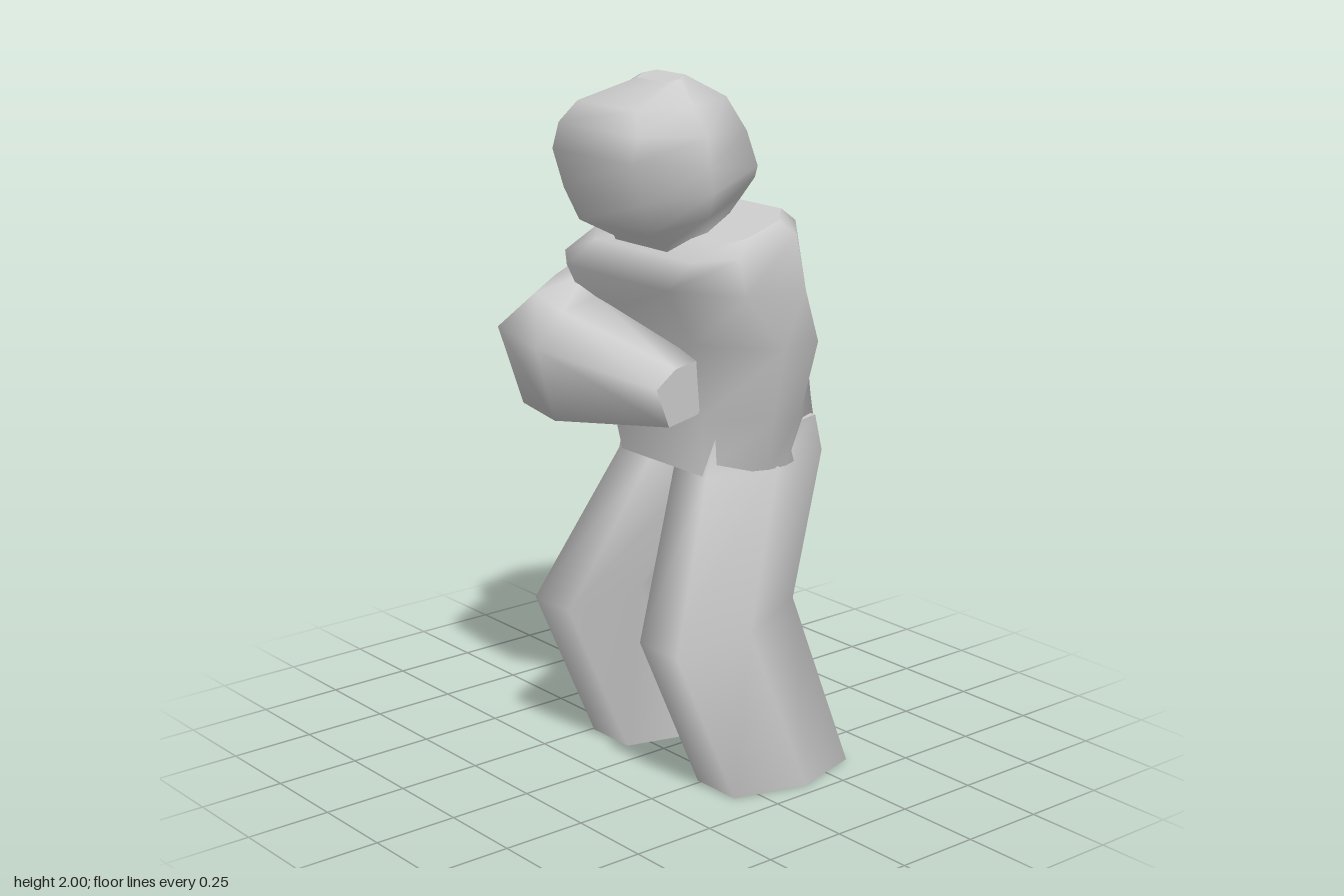
import * as THREE from 'three';

const material = new THREE.MeshStandardMaterial({ color: 0xcccccc });

// Skin a stack of equal-length rings; caps get their own vertices so their rims stay sharp.
function loft(name, rings) {
  const n = rings[0].length;
  const pos = rings.flat(2);
  const index = [];
  for (let r = 0; r < rings.length - 1; r++) {
    for (let i = 0; i < n; i++) {
      const j = (i + 1) % n;
      const a = r * n + i, b = r * n + j;
      index.push(a, b, b + n, a, b + n, a + n);
    }
  }
  const cap = (ring, flip) => {
    const start = pos.length / 3;
    const mid = [0, 1, 2].map(k => ring.reduce((s, p) => s + p[k], 0) / n);
    pos.push(...mid, ...ring.flat());
    for (let i = 0; i < n; i++) {
      const a = start + 1 + i, b = start + 1 + (i + 1) % n;
      if (flip) index.push(start, b, a);
      else index.push(start, a, b);
    }
  };
  cap(rings[0], true);
  cap(rings[rings.length - 1], false);
  const geometry = new THREE.BufferGeometry();
  geometry.setAttribute('position', new THREE.Float32BufferAttribute(pos, 3));
  geometry.setIndex(index);
  geometry.computeVertexNormals();
  const mesh = new THREE.Mesh(geometry, material);
  mesh.name = name;
  return mesh;
}

// Level or tilted ring: x from x0 to x1, front and back given as [z, y].
// flat = share of the width that is straight, side = share of the depth that is straight.
function ring(x0, x1, front, back, flat, side = 0) {
  const cx = (x0 + x1) / 2, fx = (x1 - x0) / 2 * flat;
  const at = (x, t) => [
    x,
    THREE.MathUtils.lerp(back[1], front[1], t),
    THREE.MathUtils.lerp(back[0], front[0], t),
  ];
  const lo = 0.5 - side / 2, hi = 0.5 + side / 2;
  const right = side ? [at(x1, hi), at(x1, lo)] : [at(x1, 0.5)];
  const left = side ? [at(x0, lo), at(x0, hi)] : [at(x0, 0.5)];
  return [...right, at(cx + fx, 0), at(cx - fx, 0), ...left, at(cx - fx, 1), at(cx + fx, 1)];
}

// Upright arm section between an outer and an inner [x, z], from y0 to y1.
function armRing(outer, inner, y0, y1) {
  const section = [[0.15, 1], [0.62, 0.93], [1, 0.66], [0.75, 0], [0.15, 0.1], [0, 0.5]];
  return section.map(([t, h]) => [
    THREE.MathUtils.lerp(inner[0], outer[0], t),
    THREE.MathUtils.lerp(y0, y1, h),
    THREE.MathUtils.lerp(inner[1], outer[1], t),
  ]);
}

export function createModel() {
  const model = new THREE.Group();
  model.name = 'crouchingFigure';
  const cx = 0.077;

  // Bent legs, mirrored about the body's midline
  for (const [name, s] of [['rightLeg', -1], ['leftLeg', 1]]) {
    const leg = (inner, outer, front, back) => {
      const a = cx + s * inner, b = cx + s * outer;
      return ring(Math.min(a, b), Math.max(a, b), front, back, 0.57);
    };
    model.add(loft(name, [
      leg(0.1, 0.38, [0.07, 0], [-0.36, 0]),
      leg(0.1, 0.38, [0.28, 0.47], [-0.14, 0.55]),
      leg(0, 0.245, [0.07, 0.91], [-0.36, 0.91]),
      leg(0.03, 0.24, [0.04, 1.02], [-0.33, 1.02]),
    ]));
  }

  // Torso, widening to the raised right elbow
  model.add(loft('torso', [
    ring(-0.17, 0.32, [0.07, 0.91], [-0.36, 0.91], 0.72, 0.15),
    ring(-0.28, 0.37, [0.07, 1.07], [-0.335, 1.07], 0.62, 0.25),
    ring(-0.43, 0.45, [0.09, 1.28], [-0.31, 1.3], 0.52, 0.3),
    ring(-0.36, 0.43, [0.2, 1.45], [-0.27, 1.43], 0.55, 0.45),
    ring(-0.2, 0.405, [0.16, 1.53], [-0.21, 1.6], 0.68, 0.55),
    ring(-0.05, 0.37, [0.08, 1.57], [-0.15, 1.64], 0.75, 0.5),
  ]));

  // Right arm, folded across the chest
  model.add(loft('rightArm', [
    armRing([-0.46, -0.14], [-0.14, -0.14], 1.1, 1.45),
    armRing([-0.425, 0.09], [-0.16, 0.03], 1.08, 1.44),
    armRing([-0.38, 0.2], [-0.15, 0.09], 1.07, 1.42),
    armRing([-0.3, 0.355], [-0.16, 0.12], 1.05, 1.39),
    armRing([-0.11, 0.365], [-0.13, 0.1], 1.03, 1.36),
    armRing([0.25, 0.23], [0.24, 0.05], 1.07, 1.24),
  ]));

  // Head with a short neck, tilted forward
  const headRing = (w, front, back) => ring(cx - w, cx + w, front, back, 0.74);
  model.add(loft('head', [
    headRing(0.15, [0.1, 1.46], [-0.1, 1.52]),
    headRing(0.15, [0.15, 1.55], [-0.08, 1.62]),
    headRing(0.2, [0.24, 1.6], [-0.09, 1.67]),
    headRing(0.23, [0.275, 1.69], [-0.115, 1.72]),
    headRing(0.23, [0.312, 1.8], [-0.125, 1.75]),
    headRing(0.23, [0.29, 1.87], [-0.085, 1.85]),
    headRing(0.17, [0.26, 1.93], [-0.05, 1.94]),
    headRing(0.08, [0.11, 1.985], [0.04, 2]),
  ]));

  return model;
}
